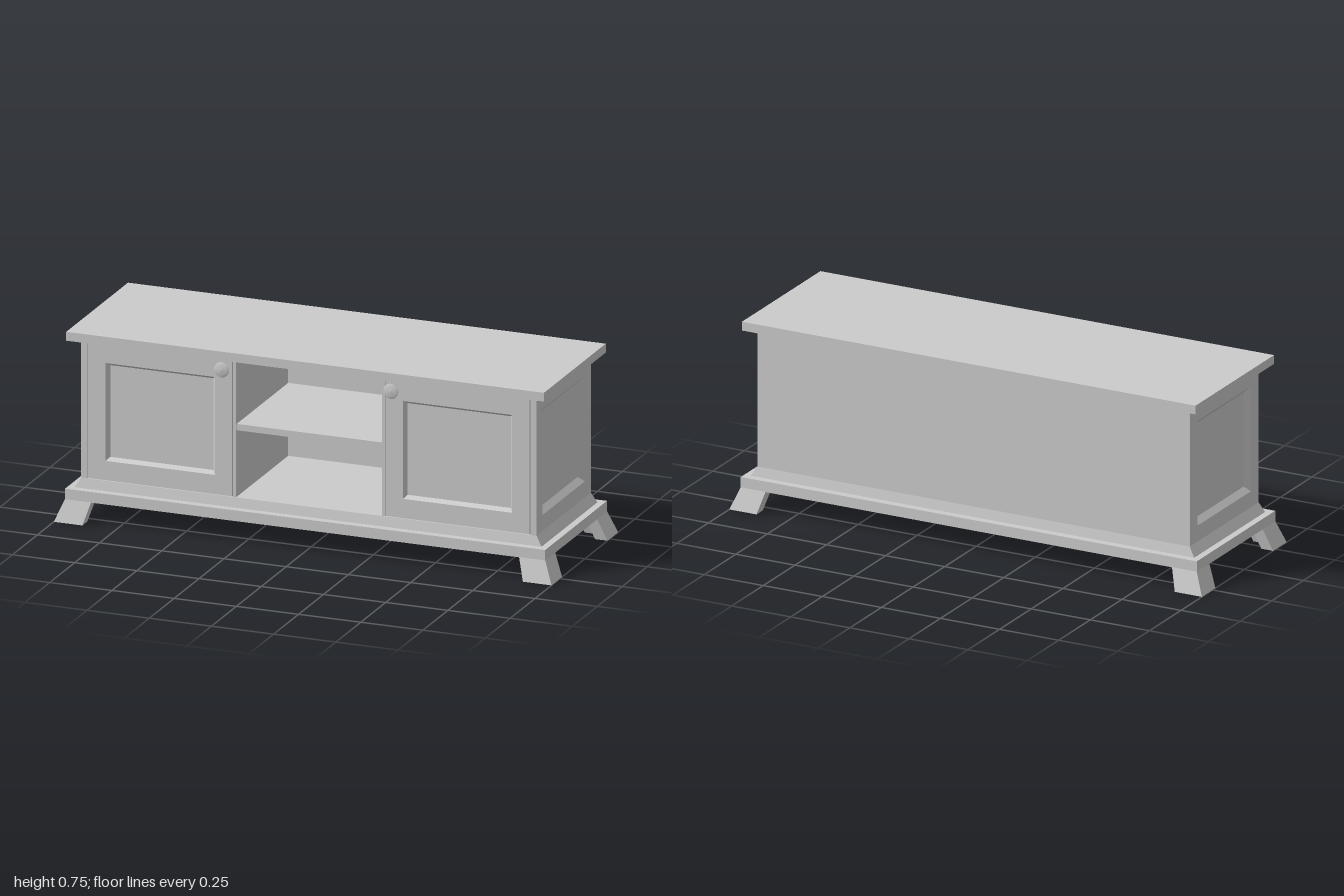
import * as THREE from 'three';

const material = new THREE.MeshStandardMaterial({ color: 0xcccccc });

function add(group, name, geometry, x = 0, y = 0, z = 0) {
  const mesh = new THREE.Mesh(geometry, material);
  mesh.name = name;
  mesh.position.set(x, y, z);
  group.add(mesh);
  return mesh;
}

// Box given by its lower and upper limits on each axis
function box(group, name, x0, x1, y0, y1, z0, z1) {
  return add(group, name, new THREE.BoxGeometry(x1 - x0, y1 - y0, z1 - z0),
    (x0 + x1) / 2, (y0 + y1) / 2, (z0 + z1) / 2);
}

// Closed, flat-faced solid through matching loops of corners
function loft(loops) {
  const p = [];
  const n = loops[0].length;
  const tri = (a, b, c) => p.push(...a, ...b, ...c);
  for (let i = 0; i < loops.length - 1; i++) {
    for (let j = 0; j < n; j++) {
      const k = (j + 1) % n;
      tri(loops[i][j], loops[i][k], loops[i + 1][k]);
      tri(loops[i][j], loops[i + 1][k], loops[i + 1][j]);
    }
  }
  const first = loops[0], last = loops[loops.length - 1];
  for (let j = 1; j < n - 1; j++) {
    tri(first[0], first[j + 1], first[j]);
    tri(last[0], last[j], last[j + 1]);
  }
  const geometry = new THREE.BufferGeometry();
  geometry.setAttribute('position', new THREE.Float32BufferAttribute(p, 3));
  geometry.computeVertexNormals();
  return geometry;
}

// Panel facing +z with a bevelled, sunken field
function sunkenPanel(w, h, fieldW, fieldH, fieldY, bevel, depth, thickness) {
  const rect = (rw, rh, cy, z) => [
    [-rw / 2, cy - rh / 2, z], [rw / 2, cy - rh / 2, z],
    [rw / 2, cy + rh / 2, z], [-rw / 2, cy + rh / 2, z],
  ];
  return loft([
    rect(w, h, 0, -thickness),
    rect(w, h, 0, 0),
    rect(fieldW, fieldH, fieldY, 0),
    rect(fieldW - 2 * bevel, fieldH - 2 * bevel, fieldY, -depth),
  ]);
}

// L-shaped bracket foot, splayed outwards towards the ground
function footGeometry(sx, sz) {
  const t = 0.05;
  const loop = (X, Z, x0, z0, y) => {
    const corners = [[X, Z], [X, z0], [X - t, z0], [X - t, Z - t], [x0, Z - t], [x0, Z]]
      .map(([x, z]) => [x * sx, y, z * sz]);
    return sx * sz > 0 ? corners : [corners[0], ...corners.slice(1).reverse()];
  };
  return loft([loop(1, 0.335, 0.885, 0.228, 0), loop(0.965, 0.31, 0.86, 0.21, 0.086)]);
}

export function createModel() {
  const cabinet = new THREE.Group();
  cabinet.name = 'lowCabinet';

  // Top, plinth and sloped moulding
  box(cabinet, 'top', -0.96, 0.96, 0.71, 0.745, -0.31, 0.31);
  box(cabinet, 'plinth', -0.965, 0.965, 0.085, 0.127, -0.31, 0.31);
  const level = (x, z, y) => [[-x, y, z], [x, y, z], [x, y, -z], [-x, y, -z]];
  add(cabinet, 'moulding', loft([level(0.938, 0.28, 0.127), level(0.915, 0.272, 0.165)]));

  // Carcass back and shelf
  box(cabinet, 'back', -0.89, 0.89, 0.165, 0.71, -0.272, -0.252);
  box(cabinet, 'shelf', -0.295, 0.295, 0.427, 0.452, -0.252, 0.265);

  // Round knob on a thin stem
  const knob = new THREE.LatheGeometry([
    [0.01, 0], [0.01, 0.02], [0.02, 0.023], [0.03, 0.027],
    [0.03, 0.029], [0.018, 0.032], [0, 0.034],
  ].map(([r, h]) => new THREE.Vector2(r, h)), 24).rotateX(Math.PI / 2);

  const side = sunkenPanel(0.544, 0.545, 0.424, 0.417, -0.001, 0.022, 0.02, 0.025);
  const door = sunkenPanel(0.579, 0.539, 0.439, 0.385, -0.001, 0.012, 0.018, 0.03);

  for (const s of [1, -1]) {
    const label = s > 0 ? 'left' : 'right';
    add(cabinet, label + 'SidePanel', side, s * 0.915, 0.4375, 0).rotation.y = s * Math.PI / 2;
    add(cabinet, label + 'Door', door, s * 0.5975, 0.4365, 0.272);
    add(cabinet, label + 'Knob', knob, s * 0.34, 0.67, 0.271);
    const inner = s * 0.293, outer = s * 0.306;
    box(cabinet, label + 'Divider', Math.min(inner, outer), Math.max(inner, outer),
      0.165, 0.71, -0.252, 0.27);
    for (const f of [1, -1]) {
      add(cabinet, label + (f > 0 ? 'Front' : 'Back') + 'Foot', footGeometry(s, f));
    }
  }
  return cabinet;
}
